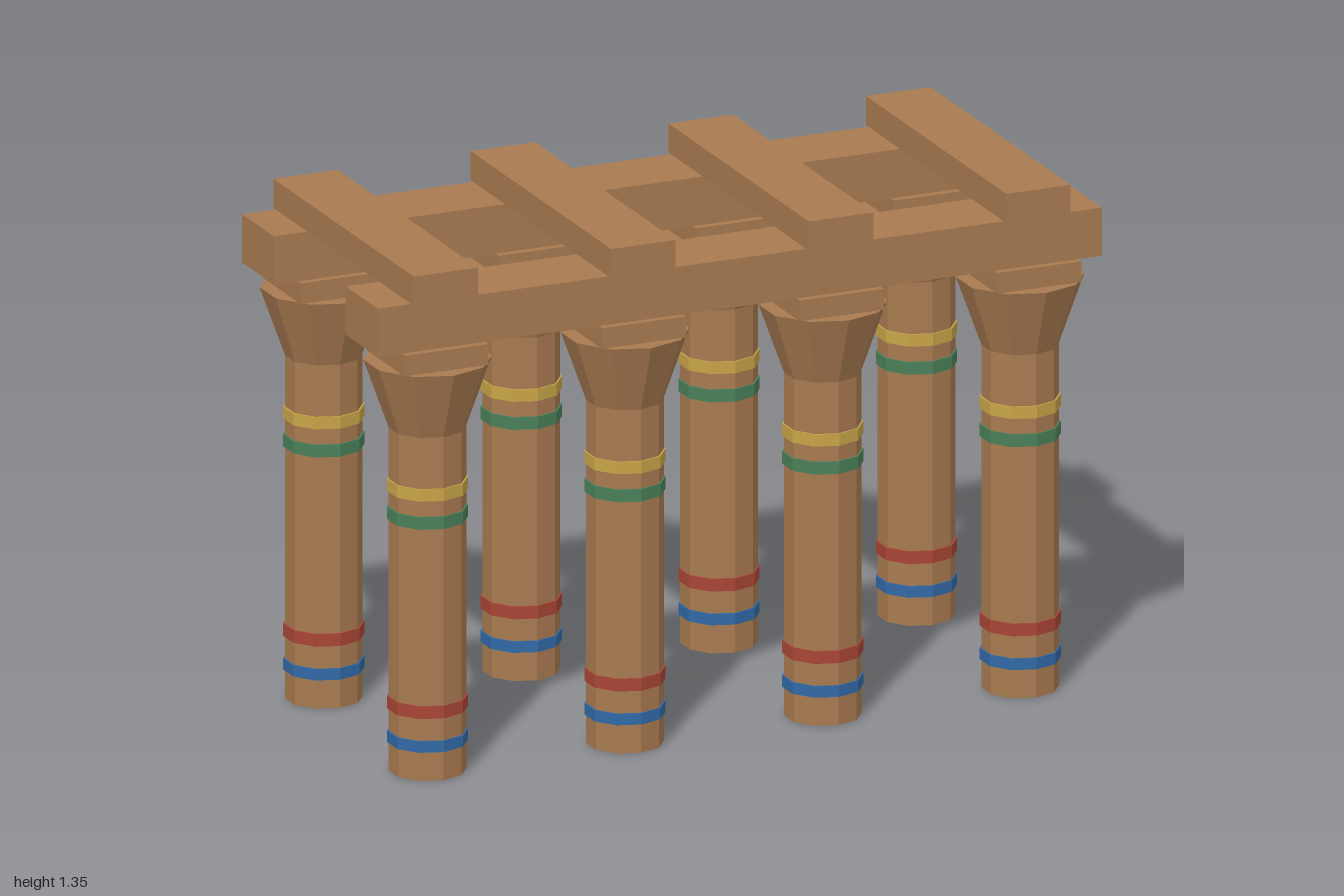
import * as THREE from 'three';

const SIDES = 10;

function material(name, color) {
  const m = new THREE.MeshStandardMaterial({ color });
  m.name = name;
  return m;
}

function part(name, geometry, mat, x, y, z) {
  const mesh = new THREE.Mesh(geometry, mat);
  mesh.name = name;
  mesh.position.set(x, y, z);
  return mesh;
}

// Ten-sided drum with flat facets, one corner pointing to +z
function drum(rTop, rBottom, height) {
  return new THREE.CylinderGeometry(rTop, rBottom, height, SIDES).toNonIndexed();
}

function faceted(geometry) {
  geometry.computeVertexNormals();
  return geometry;
}

export function createModel() {
  const model = new THREE.Group();
  model.name = 'pergola';

  const wood = material('wood', 0xa87a50);
  const bands = [
    ['blueBand', material('blue paint', 0x3069a6), 0.091, 0.03],
    ['redBand', material('red paint', 0xa84535), 0.182, 0.033],
    ['greenBand', material('green paint', 0x4a8059), 0.684, 0.033],
    ['yellowBand', material('yellow paint', 0xc8a448), 0.758, 0.032],
  ];

  const columnX = [-0.818, -0.273, 0.273, 0.818];
  const rowZ = [-0.32, 0.32];

  const shaft = faceted(drum(0.0985, 0.0985, 0.91));
  const capital = faceted(drum(0.163, 0.0985, 0.182));
  const abacus = new THREE.BoxGeometry(0.232, 0.055, 0.235);
  const bandShapes = bands.map(([, , , h]) => faceted(drum(0.103, 0.103, h)));

  // Columns: shaft, flared capital, block and painted bands
  for (const z of rowZ) {
    for (const x of columnX) {
      const column = new THREE.Group();
      column.name = 'column';
      column.position.set(x, 0, z);
      column.add(part('shaft', shaft, wood, 0, 0.455, 0));
      column.add(part('capital', capital, wood, 0, 1.001, 0));
      column.add(part('abacus', abacus, wood, 0, 1.1195, 0));
      bands.forEach(([name, mat, y], i) => {
        column.add(part(name, bandShapes[i], mat, 0, y, 0));
      });
      model.add(column);
    }
    // Long beam over each row
    model.add(part('longBeam', new THREE.BoxGeometry(2, 0.128, 0.197), wood, 0, 1.211, z));
  }

  // Cross beams joining the two rows
  const cross = new THREE.BoxGeometry(0.178, 0.077, 0.866);
  for (const x of columnX) {
    model.add(part('crossBeam', cross, wood, x, 1.3135, 0));
  }

  return model;
}
